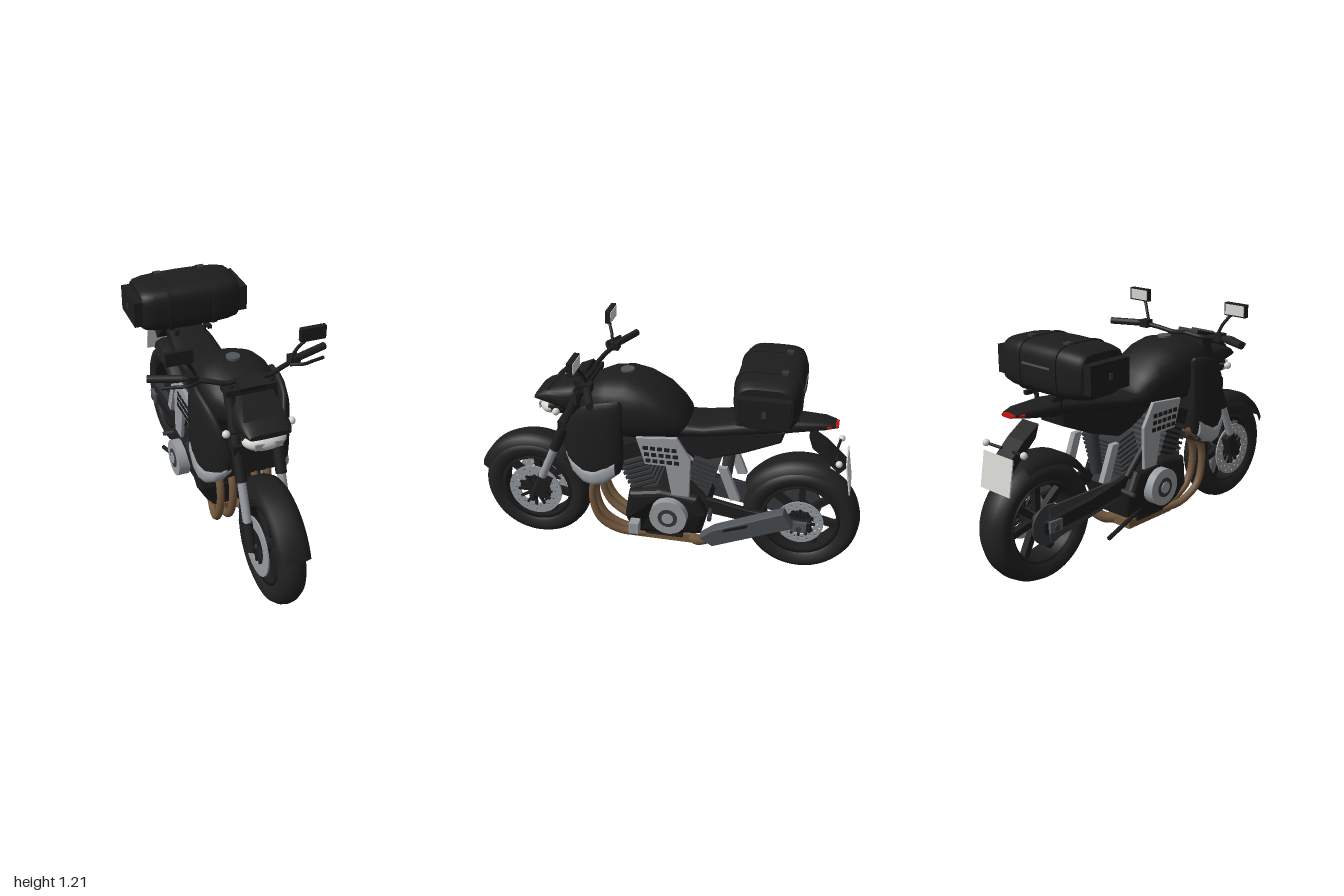
import * as THREE from 'three';
import { toCreasedNormals } from 'three/addons/utils/BufferGeometryUtils.js';

const mat = (name, color) => new THREE.MeshStandardMaterial({ name, color, side: THREE.DoubleSide });
const black = mat('black', 0x1d1d1d), rubber = mat('rubber', 0x212121), iron = mat('dark iron', 0x34373a),
  silver = mat('silver', 0x979b9f), steel = mat('steel grey', 0x50555a), bronze = mat('bronze', 0x72573d),
  white = mat('white', 0xd4d4d0), red = mat('red', 0xc01414);
const V = (x, y, z) => new THREE.Vector3(x, y, z);

export function createModel() {
  const root = new THREE.Group();
  root.name = 'motorcycle';
  const add = (name, geo, m, x = 0, y = 0, z = 0, parent = root) => {
    const mesh = new THREE.Mesh(geo, m);
    mesh.name = name;
    mesh.position.set(x, y, z);
    parent.add(mesh);
    return mesh;
  };
  const box = (name, m, w, h, d, x, y, z, rx = 0) => {
    const b = add(name, new THREE.BoxGeometry(w, h, d), m, x, y, z);
    b.rotation.x = rx;
    return b;
  };
  // cylinder whose axis runs along x
  const disc = (name, m, r, w, x, y, z, r2 = r) =>
    add(name, new THREE.CylinderGeometry(r, r2, w, 32).rotateZ(-Math.PI / 2), m, x, y, z);
  const rod = (name, m, a, b, r, r2 = r) => {
    const dir = b.clone().sub(a);
    const mesh = add(name, new THREE.CylinderGeometry(r2, r, dir.length(), 16), m);
    mesh.position.copy(a).add(b).multiplyScalar(0.5);
    mesh.quaternion.setFromUnitVectors(V(0, 1, 0), dir.normalize());
    return mesh;
  };
  const tube = (name, m, pts, r) =>
    add(name, new THREE.TubeGeometry(new THREE.CatmullRomCurve3(pts.map(p => V(...p))), 40, r, 12), m);
  // side outline of [z, y] points, given thickness along x
  const plate = (name, m, pts, w, x, bevel = 0) => {
    const shape = new THREE.Shape(pts.map(p => new THREE.Vector2(...p)));
    const g = new THREE.ExtrudeGeometry(shape, { depth: w - 2 * bevel, bevelEnabled: bevel > 0,
      bevelSize: bevel, bevelThickness: bevel, bevelOffset: -bevel, bevelSegments: 3 });
    return add(name, g.translate(0, 0, bevel - w / 2).rotateY(-Math.PI / 2), m, x);
  };
  // skin over rounded cross-sections [z, bottom, top, halfWidth, centreX], z increasing
  const loft = (rows, p = 2.6, n = 32) => {
    const pos = [], idx = [];
    const pw = v => Math.sign(v) * Math.abs(v) ** (2 / p);
    rows.forEach(([z, lo, hi, hw, cx = 0]) => {
      for (let j = 0; j < n; j++) {
        const a = j / n * Math.PI * 2;
        pos.push(cx + hw * pw(Math.cos(a)), (lo + hi) / 2 + (hi - lo) / 2 * pw(Math.sin(a)), z);
      }
    });
    const last = (rows.length - 1) * n;
    for (let j = 0; j < n; j++) {
      const k = (j + 1) % n;
      for (let i = 0; i < last; i += n) idx.push(i + j, i + k, i + n + k, i + j, i + n + k, i + n + j);
      if (j && k) idx.push(0, k, j, last, last + j, last + k);
    }
    const g = new THREE.BufferGeometry();
    g.setAttribute('position', new THREE.Float32BufferAttribute(pos, 3));
    g.setIndex(idx);
    return toCreasedNormals(g, 0.7);
  };
  // lathe of [radius, x] points turned about the x axis
  const spin = (pts, start = 0, len = 360, n = 64) => new THREE.LatheGeometry(
    pts.map(p => new THREE.Vector2(...p)), n, start * Math.PI / 180, len * Math.PI / 180).rotateZ(Math.PI / 2);
  const both = f => [1, -1].forEach(f);

  // wheels
  const wheel = (name, z, R, w) => {
    const g = new THREE.Group();
    g.name = name;
    g.position.set(0, R, z);
    root.add(g);
    add('tyre', spin([[R - 0.1, -w * .7], [R - .085, -w * .9], [R - .05, -w], [R - .025, -w * .86], [R - .006, -w * .45], [R, 0],
      [R - .006, w * .45], [R - .025, w * .86], [R - .05, w], [R - .085, w * .9], [R - .1, w * .7]]), rubber, 0, 0, 0, g);
    add('rim', spin([[R - .115, -w * .7], [R - .095, -w * .75], [R - .095, w * .75], [R - .115, w * .7], [R - .115, -w * .7]]), black, 0, 0, 0, g);
    for (let i = 0; i < 7; i++) {
      const a = i / 7 * Math.PI * 2;
      const s = add('spoke', new THREE.BoxGeometry(.035, .17, .032), black, 0, Math.cos(a) * .115, Math.sin(a) * .115, g);
      s.rotation.x = a;
    }
    add('hub', new THREE.CylinderGeometry(.045, .045, .13, 24).rotateZ(Math.PI / 2), black, 0, 0, 0, g);
  };
  wheel('frontWheel', .708, .292, .066);
  wheel('rearWheel', -.7, .298, .087);

  // drilled brake discs
  const brakeDisc = (x, y, z, r) => {
    const s = new THREE.Shape().absarc(0, 0, r, 0, Math.PI * 2);
    s.holes.push(new THREE.Path().absarc(0, 0, r * .6, 0, Math.PI * 2, true));
    for (let i = 0; i < 28; i++) {
      const a = i / 28 * Math.PI * 2, q = r * (i % 2 ? .88 : .74);
      s.holes.push(new THREE.Path().absarc(Math.cos(a) * q, Math.sin(a) * q, .005, 0, Math.PI * 2, true));
    }
    add('brakeDisc', new THREE.ExtrudeGeometry(s, { depth: .008, bevelEnabled: false, curveSegments: 20 })
      .rotateY(-Math.PI / 2), silver, x, y, z);
    for (let i = 0; i < 6; i++) box('discCarrier', black, .012, r * 1.3, .014, x, y, z, i * Math.PI / 6);
  };
  both(s => brakeDisc(s * .07, .292, .708, .145));
  brakeDisc(.085, .298, -.7, .12);
  disc('sprocket', iron, .1, .012, -.09, .298, -.7);

  // fenders
  const fender = (r, w) => [[r - .05, -w], [r - .015, -w * .85], [r, -w * .4], [r, w * .4], [r - .015, w * .85], [r - .05, w]];
  add('frontFender', spin(fender(.322, .078), 22, 132, 40), black, 0, .295, .708);
  add('rearFender', spin(fender(.335, .092), 30, 82, 40), black, 0, .298, -.7);

  // front fork, calipers, handlebar, levers, mirrors and front signals
  const forkZ = y => .7 - (y - .295) * .44;
  both(s => {
    const at = y => V(s * .1, y, forkZ(y));
    rod('forkLeg', black, at(.27), at(.4), .024);
    rod('forkSlider', silver, at(.38), at(.59), .021);
    rod('forkUpper', black, at(.58), at(.99), .027);
    box('caliper', black, .045, .12, .065, s * .1, .34, .655, -.4);
    tube('handlebar', black, [[0, 1.01, .37], [s * .1, 1, .38], [s * .18, 1.015, .36], [s * .28, 1.03, .325], [s * .42, 1.03, .27]], .012);
    rod('grip', rubber, V(s * .29, 1.03, .322), V(s * .44, 1.028, .265), .018);
    box('switchBlock', black, .05, .04, .05, s * .25, 1.03, .335);
    tube('lever', black, [[s * .22, 1.02, .36], [s * .28, 1.025, .385], [s * .34, 1.02, .365], [s * .4, 1.015, .345]], .008);
    tube('mirrorStem', black, [[s * .23, 1.03, .34], [s * .255, 1.09, .35], [s * .29, 1.14, .37], [s * .32, 1.16, .37]], .008);
    box('mirror', black, .126, .065, .026, s * .322, 1.173, .372);
    box('mirrorGlass', white, .112, .052, .004, s * .322, 1.173, .358);
    rod('signalStem', black, V(s * .08, .83, .53), V(s * .15, .83, .53), .008);
    add('frontSignal', new THREE.SphereGeometry(.019, 16, 12), white, s * .16, .83, .53);
  });
  box('upperClamp', black, .25, .03, .08, 0, .975, .4);
  box('lowerClamp', black, .25, .05, .08, 0, .73, .5);
  rod('axle', iron, V(-.11, .292, .708), V(.11, .292, .708), .016);
  box('dashboard', black, .13, .025, .07, 0, 1.005, .42, .4);

  // headlight and cowl
  add('cowl', loft([[.42, .8, .95, .1], [.5, .79, .94, .115], [.58, .83, .925, .118], [.63, .845, .905, .112], [.66, .855, .88, .1]], 3), black);
  add('headlightShell', loft([[.45, .77, .87, .07], [.53, .765, .87, .1], [.59, .765, .86, .105]], 2.4), black);
  add('headlight', new THREE.SphereGeometry(1, 32, 20).scale(.107, .047, .065), white, 0, .808, .59);
  both(s => box('lamp', silver, .045, .03, .008, s * .045, .808, .647));
  const screen = new THREE.Shape([[-.1, 0], [.1, 0], [.072, .12], [-.072, .12]].map(p => new THREE.Vector2(...p)));
  add('windscreen', new THREE.ExtrudeGeometry(screen, { depth: .012, bevelEnabled: false }), black, 0, .91, .585).rotation.x = -.75;

  // tank, seat and tail
  add('tank', loft([[-.125, .75, .8, .08], [-.11, .735, .84, .115], [-.07, .715, .89, .145], [0, .7, .955, .17], [.1, .69, 1.003, .188],
    [.19, .69, 1.02, .195], [.28, .7, 1.01, .19], [.36, .74, .975, .165], [.42, .8, .92, .11]]), black);
  add('fuelCap', new THREE.CylinderGeometry(.034, .034, .012, 24), steel, 0, 1.021, .2);
  add('seat', loft([[-.83, .83, .848, .045], [-.78, .815, .862, .06], [-.6, .785, .865, .085], [-.38, .765, .838, .115],
    [-.2, .74, .805, .125], [0, .71, .8, .12]], 3), black);
  plate('subframe', black, [[.05, .74], [-.06, .66], [-.2, .595], [-.4, .66], [-.58, .74], [-.6, .81], [-.2, .76]], .17, 0, .015);
  add('tailLight', loft([[-.845, .828, .846, .035], [-.79, .822, .85, .062]], 3), red);

  // plate holder, rear plate and rear signals
  plate('plateHolder', black, [[-.71, .78], [-.73, .72], [-.87, .59], [-.9, .625], [-.8, .72]], .11, 0);
  box('rearPlate', white, .2, .17, .006, 0, .585, -.915, .17);
  both(s => {
    rod('rearSignalStem', black, V(s * .04, .68, -.85), V(s * .12, .685, -.86), .007);
    add('rearSignal', new THREE.SphereGeometry(.017, 16, 12), white, s * .13, .688, -.865);
  });

  // roll bag with straps, end pockets and rack
  const bagRow = (x, k) => [x, -.124 * k, .124 * k, .16 * k];
  const bag = loft([bagRow(-.265, .8), bagRow(-.25, .88), bagRow(-.2, .95), bagRow(-.1, .99), bagRow(0, 1),
    bagRow(.1, .99), bagRow(.2, .95), bagRow(.25, .88), bagRow(.265, .8)], 4, 48).rotateY(Math.PI / 2);
  add('bag', bag, black, 0, 1.008, -.51);
  both(s => {
    add('bagStrap', loft([bagRow(-.012, 1.02), bagRow(.012, 1.02)], 4, 48).rotateY(Math.PI / 2), black, s * .12, 1.008, -.51);
    box('strapBuckle', iron, .032, .012, .03, s * .12, 1.135, -.58);
    box('endPocket', black, .05, .135, .24, s * .285, 1.006, -.51);
    box('pocketClasp', iron, .006, .03, .02, s * .312, 1.006, -.51);
    [-.42, -.6].forEach(z => rod('rackLeg', black, V(s * .07, .8, z), V(s * .09, .92, z), .011));
    box('rackRail', black, .02, .02, .3, s * .09, .885, -.51);
  });
  box('bagZip', steel, .18, .008, .006, 0, 1.03, -.671);

  // radiator, shrouds and perforated side panels
  box('radiator', black, .37, .32, .05, 0, .61, .34);
  both(s => {
    const shroud = add('shroud', loft([[.185, .58, .93, .02, .195], [.2, .54, .94, .028, .2], [.26, .49, .935, .032, .203], [.32, .465, .92, .032, .2],
      [.39, .475, .89, .03, .188], [.45, .52, .82, .027, .165], [.48, .56, .75, .022, .145], [.497, .6, .68, .012, .13]]), black);
    const trim = add('shroudTrim', loft([[.22, .525, .62, .032, .202], [.28, .476, .585, .035, .203], [.34, .46, .55, .035, .199],
      [.39, .467, .55, .034, .188], [.45, .51, .575, .031, .165], [.495, .58, .605, .014, .132]]), silver);
    // mirrored by negative scale, which also keeps the faces outward
    shroud.scale.x = trim.scale.x = s;
    plate('sidePanel', silver, [[.12, .745], [-.085, .765], [-.155, .65], [-.15, .435], [-.06, .435], [-.03, .6], [.075, .6]], .02, s * .175, .004);
    for (let r = 0; r < 3; r++) for (let c = 0; c < 5; c++)
      box('panelHole', black, .005, .02, .025, s * .186, .625 + r * .035, -.085 + c * .036 + r * .006);
    plate('rearStay', silver, [[-.285, .6], [-.33, .6], [-.4, .425], [-.35, .42]], .03, s * .13);
  });

  // engine
  const caseMesh = plate('crankcase', black, [[.19, .27], [.165, .42], [0, .45], [-.19, .43], [-.24, .33], [-.2, .17], [.13, .12], [.18, .17]], .37, 0, .03);
  const cp = caseMesh.geometry.attributes.position;
  for (let i = 0; i < cp.count; i++) cp.setX(i, cp.getX(i) * Math.min(1, .5 + (cp.getY(i) - .12) * 3));
  caseMesh.geometry.computeVertexNormals();
  const cylinder = (name, a, b, w, d, n) => {
    const tilt = Math.atan2(b.z - a.z, b.y - a.y);
    for (let i = 0; i < n; i++) {
      const p = a.clone().lerp(b, i / (n - 1));
      box(name, iron, w, .014, d, 0, p.y, p.z, tilt);
    }
    const m = a.clone().lerp(b, .5);
    box(name + 'Core', black, w - .03, a.distanceTo(b), d - .03, 0, m.y, m.z, tilt);
  };
  cylinder('frontCylinderFin', V(0, .43, .085), V(0, .58, .15), .28, .15, 7);
  box('frontCylinderHead', black, .26, .08, .13, 0, .63, .17, .4);
  cylinder('rearCylinderFin', V(0, .43, -.17), V(0, .6, -.22), .24, .13, 8);
  both(s => {
    disc('engineCover', silver, .095, .06, s * .2, .325, -.05);
    disc('coverRing', iron, .05, .066, s * .201, .325, -.05);
    disc('coverHub', silver, .03, .074, s * .201, .325, -.05);
    rod('footPeg', iron, V(s * .12, .34, -.25), V(s * .22, .34, -.26), .011);
  });
  box('waterPump', silver, .055, .06, .05, .218, .245, .125);
  box('sump', black, .18, .06, .26, 0, .145, .03);

  // exhaust headers, collector and muffler
  [-.125, -.06, .06, .125].forEach(x => tube('exhaustHeader', bronze, [[x * .8, .53, .21], [x, .5, .3], [x, .42, .36], [x, .31, .37],
    [x, .2, .33], [x * .85, .13, .23], [x * .6, .11, .1]], .02));
  box('collector', bronze, .16, .045, .32, 0, .105, .01);
  tube('linkPipe', bronze, [[.02, .105, -.1], [.08, .11, -.17], [.14, .16, -.22], [.175, .21, -.27]], .028);
  const shear = mesh => {
    const p = mesh.geometry.attributes.position;
    for (let i = 0; i < p.count; i++) p.setX(i, p.getX(i) + (p.getY(i) - .32) * .22);
    mesh.geometry.computeVertexNormals();
  };
  shear(plate('muffler', steel, [[-.21, .22], [-.28, .285], [-.627, .462], [-.675, .365], [-.275, .168]], .065, .208, .006));
  shear(plate('mufflerSlot', black, [[-.33, .285], [-.34, .305], [-.46, .358], [-.45, .335]], .005, .242));

  // swingarm, axle blocks, chain and side stand
  both(s => {
    plate('swingarm', black, [[-.15, .42], [-.15, .33], [-.45, .29], [-.76, .27], [-.76, .33], [-.45, .36]], .03, s * .115, .006);
    box('axleBlock', steel, .03, .055, .075, s * .13, .305, -.7);
    rod('frameTube', black, V(s * .12, .72, .1), V(s * .13, .4, -.22), .02);
  });
  plate('chain', iron, [[-.15, .39], [-.15, .3], [-.7, .21], [-.7, .385]], .012, -.095);
  rod('rearAxle', iron, V(-.15, .298, -.7), V(.15, .298, -.7), .014);
  rod('sideStand', black, V(-.13, .2, -.12), V(-.18, .15, -.4), .011);
  rod('shock', iron, V(0, .42, -.3), V(0, .68, -.33), .03);
  return root;
}
